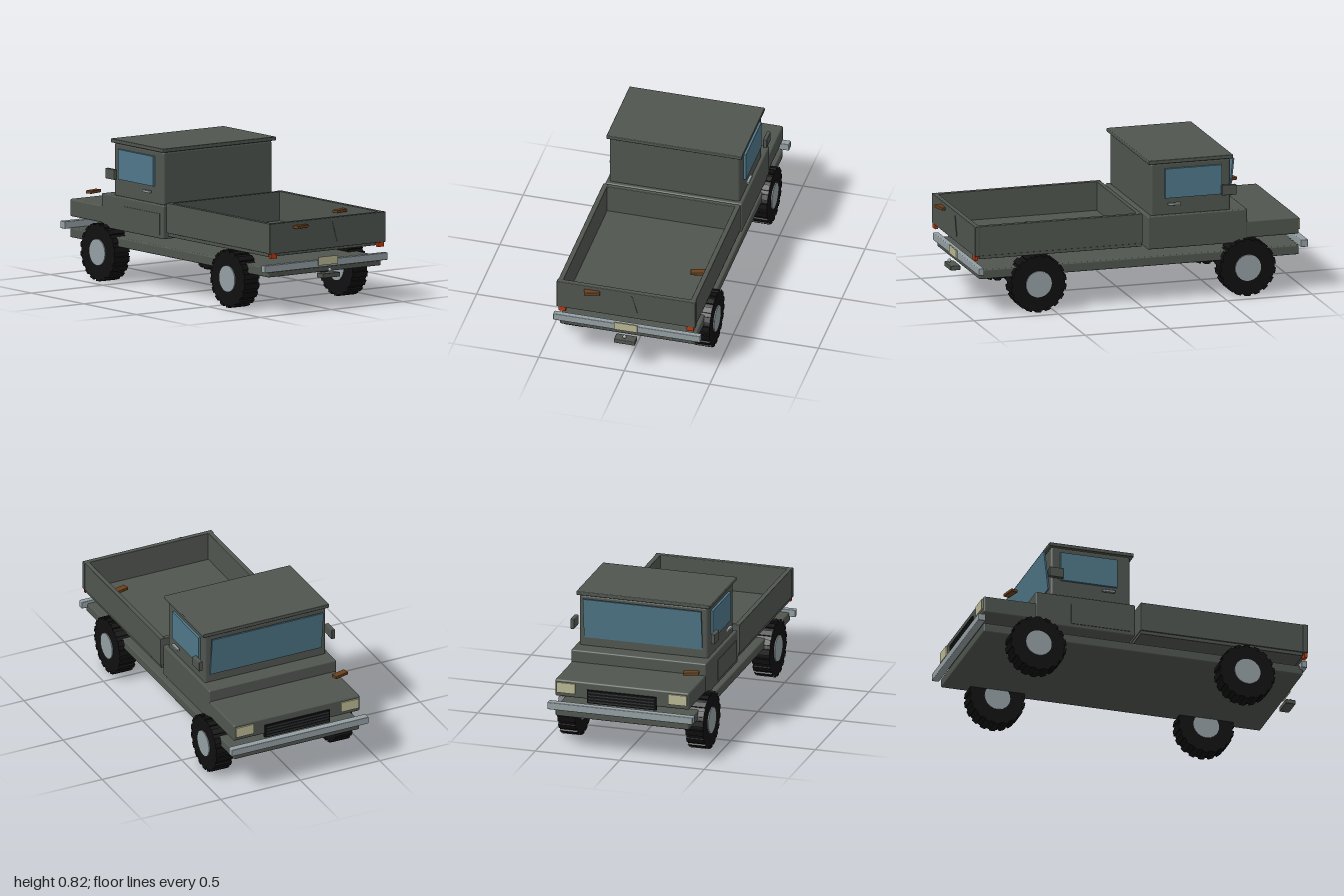
import * as THREE from 'three';
import { RoundedBoxGeometry } from 'three/addons/geometries/RoundedBoxGeometry.js';

const mat = (name, color) => {
  const m = new THREE.MeshStandardMaterial({ color });
  m.name = name;
  return m;
};

export function createModel() {
  const paint = mat('grey green paint', 0x50554f);
  const chrome = mat('chrome', 0x949fa3);
  const rubber = mat('tyre rubber', 0x101010);
  const glass = mat('glass', 0x4f7789);
  const cream = mat('cream lamp', 0xbab793);
  const red = mat('tail lamp red', 0xb9380d);
  const rust = mat('rust', 0x6b411c);
  const bar = mat('grille bar grey', 0x3a3d40);

  const truck = new THREE.Group();
  truck.name = 'pickupTruck';

  // Box given by its limits on each axis; r > 0 rounds the edges
  function box(name, material, [x0, x1], [y0, y1], [z0, z1], r = 0, parent = truck) {
    const s = [x1 - x0, y1 - y0, z1 - z0];
    const geo = r ? new RoundedBoxGeometry(...s, 2, r) : new THREE.BoxGeometry(...s);
    const mesh = new THREE.Mesh(geo, material);
    mesh.name = name;
    mesh.position.set((x0 + x1) / 2, (y0 + y1) / 2, (z0 + z1) / 2);
    parent.add(mesh);
    return mesh;
  }
  // The same box on both sides
  function pair(name, material, [x0, x1], y, z, r = 0) {
    box(name + 'Left', material, [x0, x1], y, z, r);
    box(name + 'Right', material, [-x1, -x0], y, z, r);
  }

  // Chassis slab
  box('chassis', paint, [-0.395, 0.395], [0.21, 0.265], [-0.957, 0.936], 0.008);

  // Cab, hood and roof
  box('cabLower', paint, [-0.4, 0.4], [0.307, 0.5], [-0.65, -0.06], 0.008);
  box('hood', paint, [-0.397, 0.397], [0.33, 0.43], [-0.957, -0.55], 0.01);
  box('cabUpper', paint, [-0.381, 0.381], [0.49, 0.802], [-0.555, -0.083], 0.014);
  box('roof', paint, [-0.396, 0.396], [0.8, 0.822], [-0.567, -0.067], 0.004);
  box('doorPanel', paint, [-0.404, -0.398], [0.33, 0.45], [-0.44, -0.09]);

  // Windows
  const windshield = box('windshield', glass, [-0.35, 0.35], [0.55, 0.787], [-0.575, -0.566]);
  windshield.rotation.x = -0.11;
  pair('sideWindow', glass, [0.378, 0.395], [0.597, 0.768], [-0.5, -0.165]);

  // Mirrors and door handles
  pair('mirror', paint, [0.405, 0.428], [0.596, 0.655], [-0.577, -0.491], 0.004);
  pair('doorHandle', chrome, [0.391, 0.408], [0.556, 0.57], [-0.255, -0.18], 0.003);

  // Cargo bed
  box('bedFloor', paint, [-0.395, 0.395], [0.328, 0.352], [-0.025, 0.936], 0.003);
  pair('bedSide', paint, [0.373, 0.402], [0.348, 0.52], [-0.028, 0.938], 0.003);
  box('bedFrontWall', paint, [-0.38, 0.38], [0.348, 0.519], [-0.028, -0.002], 0.003);
  box('tailgate', paint, [-0.406, 0.406], [0.347, 0.52], [0.935, 0.964], 0.003);
  const scratch = box('tailgateScratch', paint, [0.047, 0.053], [0.38, 0.499], [0.962, 0.967]);
  scratch.rotation.z = 0.28;

  // Bumpers, plate and tow hitch
  box('frontBumper', chrome, [-0.43, 0.43], [0.26, 0.302], [-1, -0.957], 0.004);
  box('rearBumper', chrome, [-0.43, 0.43], [0.24, 0.282], [0.917, 0.95], 0.004);
  box('numberPlate', cream, [-0.067, 0.067], [0.254, 0.302], [0.961, 0.969]);
  box('towHitch', paint, [-0.061, 0.061], [0.184, 0.21], [0.942, 1], 0.003);
  const ball = new THREE.Mesh(new THREE.SphereGeometry(0.011, 16, 12), chrome);
  ball.name = 'towBall';
  ball.position.set(-0.002, 0.228, 0.987);
  truck.add(ball);

  // Lamps
  pair('headlight', cream, [0.275, 0.385], [0.355, 0.415], [-0.966, -0.95]);
  pair('tailLamp', red, [0.353, 0.396], [0.321, 0.347], [0.945, 0.962]);

  // Grille with horizontal bars
  box('grille', rubber, [-0.205, 0.205], [0.31, 0.388], [-0.966, -0.95]);
  for (let i = 0; i < 4; i++) {
    const y = 0.322 + i * 0.018;
    box('grilleBar' + (i + 1), bar, [-0.195, 0.195], [y - 0.003, y + 0.003], [-0.971, -0.96]);
  }

  // Loose rust flakes, all turned alike
  [[-0.355, -0.786], [0.333, 0.627], [-0.196, 0.974]].forEach(([x, z], i) => {
    const flake = box('rustFlake' + (i + 1), rust, [x - 0.045, x + 0.045], [0.481, 0.498], [z - 0.02, z + 0.02], 0.003);
    flake.rotation.y = 0.25;
  });

  // Wheels: tyre, tread lugs around the rim and a hub on the outer face
  const tyreGeo = new THREE.CylinderGeometry(0.157, 0.157, 0.102, 40).rotateZ(Math.PI / 2);
  const hubGeo = new THREE.CylinderGeometry(0.076, 0.076, 0.11, 28).rotateZ(Math.PI / 2);
  const lugGeo = new THREE.BoxGeometry(0.104, 0.016, 0.033);
  const lugs = 18;
  function wheel(name, side, z) {
    const group = new THREE.Group();
    group.name = name;
    const tyre = new THREE.Mesh(tyreGeo, rubber);
    tyre.name = 'tyre';
    const hub = new THREE.Mesh(hubGeo, chrome);
    hub.name = 'hub';
    hub.position.x = side * 0.002;
    group.add(tyre, hub);
    for (let i = 0; i < lugs; i++) {
      const a = (i / lugs) * Math.PI * 2;
      const lug = new THREE.Mesh(lugGeo, rubber);
      lug.name = 'treadLug';
      lug.position.set(0, Math.cos(a) * 0.157, Math.sin(a) * 0.157);
      lug.rotation.x = a;
      group.add(lug);
    }
    group.position.set(side * 0.379, 0.166, z);
    truck.add(group);
  }
  for (const side of [1, -1]) {
    const s = side > 0 ? 'Left' : 'Right';
    wheel('wheelTail' + s, side, 0.595);
    wheel('wheelNose' + s, side, -0.643);
  }

  return truck;
}
